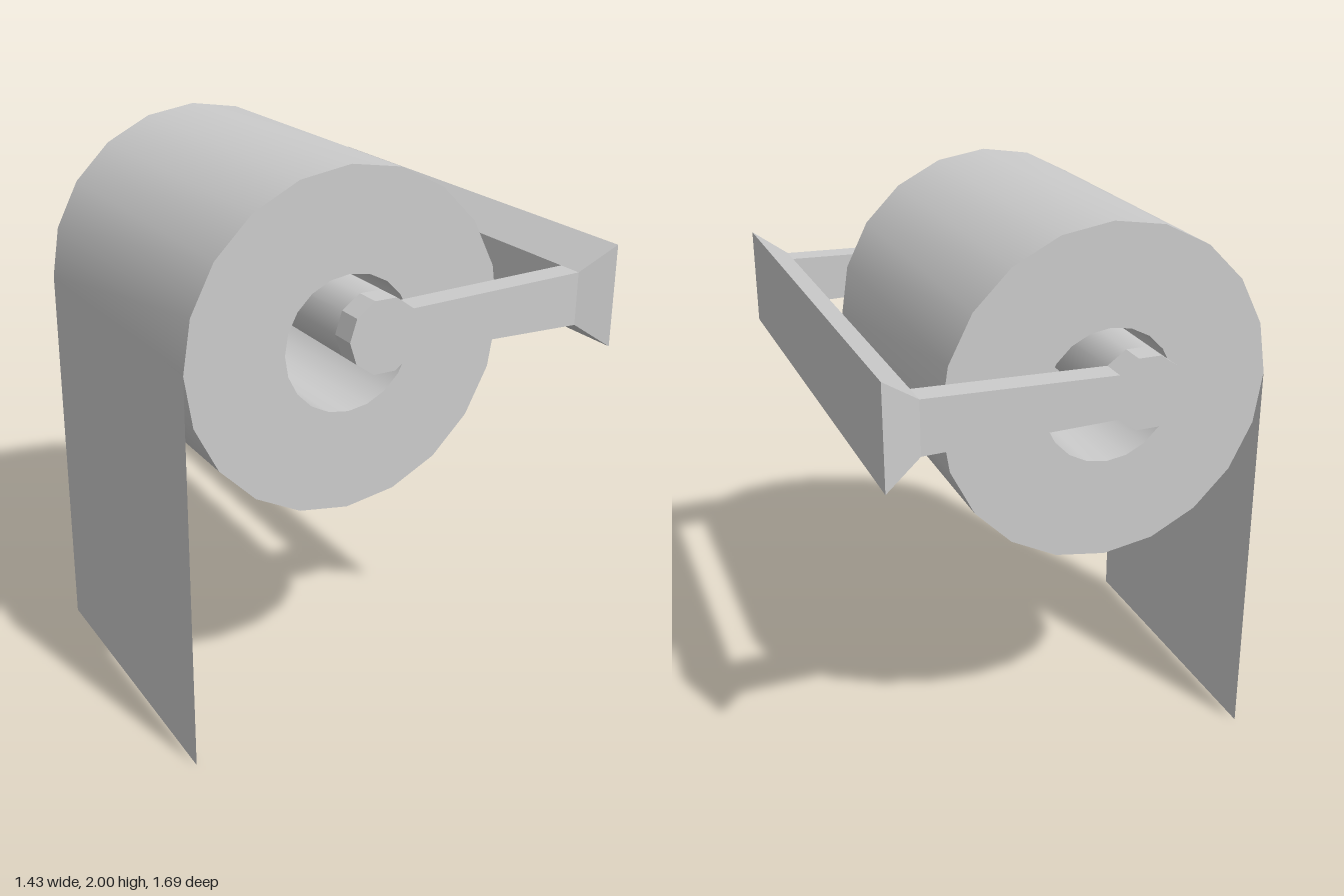
import * as THREE from 'three';
import { toCreasedNormals } from 'three/addons/utils/BufferGeometryUtils.js';

const material = new THREE.MeshStandardMaterial({ color: 0xcccccc });
const sheetMaterial = new THREE.MeshStandardMaterial({ color: 0xcccccc, side: THREE.DoubleSide });

const ROLL = { x: -0.135, y: 1.42, outer: 0.58, inner: 0.233, back: -0.56, front: 0.58 };
const ROD = { x: -0.147, y: 1.52, r: 0.124, sides: 10 };
const ARM = { inner: 0.72, outer: 0.808, endX: 0.59, half: 0.09 };
const PLATE = { x: 0.713, half: 0.175, halfLength: 0.846 };

// Points of a regular polygon, from corner 'first' to corner 'last'
function ring(x, y, r, sides, first = 0, last = sides - 1) {
  const points = [];
  for (let i = first; i <= last; i++) {
    const a = (i / sides) * Math.PI * 2;
    points.push(new THREE.Vector2(x + r * Math.cos(a), y + r * Math.sin(a)));
  }
  return points;
}

function extrude(shape, z0, z1) {
  return new THREE.ExtrudeGeometry(shape, { depth: z1 - z0, bevelEnabled: false }).translate(0, 0, z0);
}

export function createModel() {
  const group = new THREE.Group();
  const add = (name, geometry, mat = material) => {
    const mesh = new THREE.Mesh(geometry, mat);
    mesh.name = name;
    group.add(mesh);
    return mesh;
  };

  // Paper roll: a thick tube, smooth around and sharp at the rims
  const rollShape = new THREE.Shape(ring(ROLL.x, ROLL.y, ROLL.outer, 20));
  rollShape.holes.push(new THREE.Path(ring(ROLL.x, ROLL.y, ROLL.inner, 20)));
  add('paperRoll', toCreasedNormals(extrude(rollShape, ROLL.back, ROLL.front), 0.6));

  // Hanging sheet, tangent to the roll and reaching the ground
  const sheet = add('hangingSheet', new THREE.PlaneGeometry(ROLL.front - ROLL.back, ROLL.y), sheetMaterial);
  sheet.rotation.y = -Math.PI / 2;
  sheet.position.set(ROLL.x - ROLL.outer, ROLL.y / 2, (ROLL.front + ROLL.back) / 2);

  // Rod through the roll, between the two arms
  const rodShape = new THREE.Shape(ring(ROD.x, ROD.y, ROD.r, ROD.sides));
  add('rod', toCreasedNormals(extrude(rodShape, -ARM.inner, ARM.inner), 0.8));

  // Arms: a rounded knob that runs into a bar widening towards the plate
  const armShape = new THREE.Shape([
    ...ring(ROD.x, ROD.y, ROD.r, ROD.sides, 1, ROD.sides - 1),
    new THREE.Vector2(ARM.endX, ROD.y - ARM.half),
    new THREE.Vector2(ARM.endX, ROD.y + ARM.half),
  ]);
  add('frontArm', extrude(armShape, ARM.inner, ARM.outer));
  add('backArm', extrude(armShape, -ARM.outer, -ARM.inner));

  // Mounting plate: a box that flares towards the wall side
  const plate = new THREE.BoxGeometry(1, 1, 1).toNonIndexed();
  const p = plate.attributes.position;
  for (let i = 0; i < p.count; i++) {
    const wall = p.getX(i) > 0;
    p.setXYZ(
      i,
      wall ? PLATE.x : ARM.endX,
      ROD.y + Math.sign(p.getY(i)) * (wall ? PLATE.half : ARM.half),
      Math.sign(p.getZ(i)) * (wall ? PLATE.halfLength : ARM.outer),
    );
  }
  plate.computeVertexNormals();
  add('mountingPlate', plate);

  return group;
}
